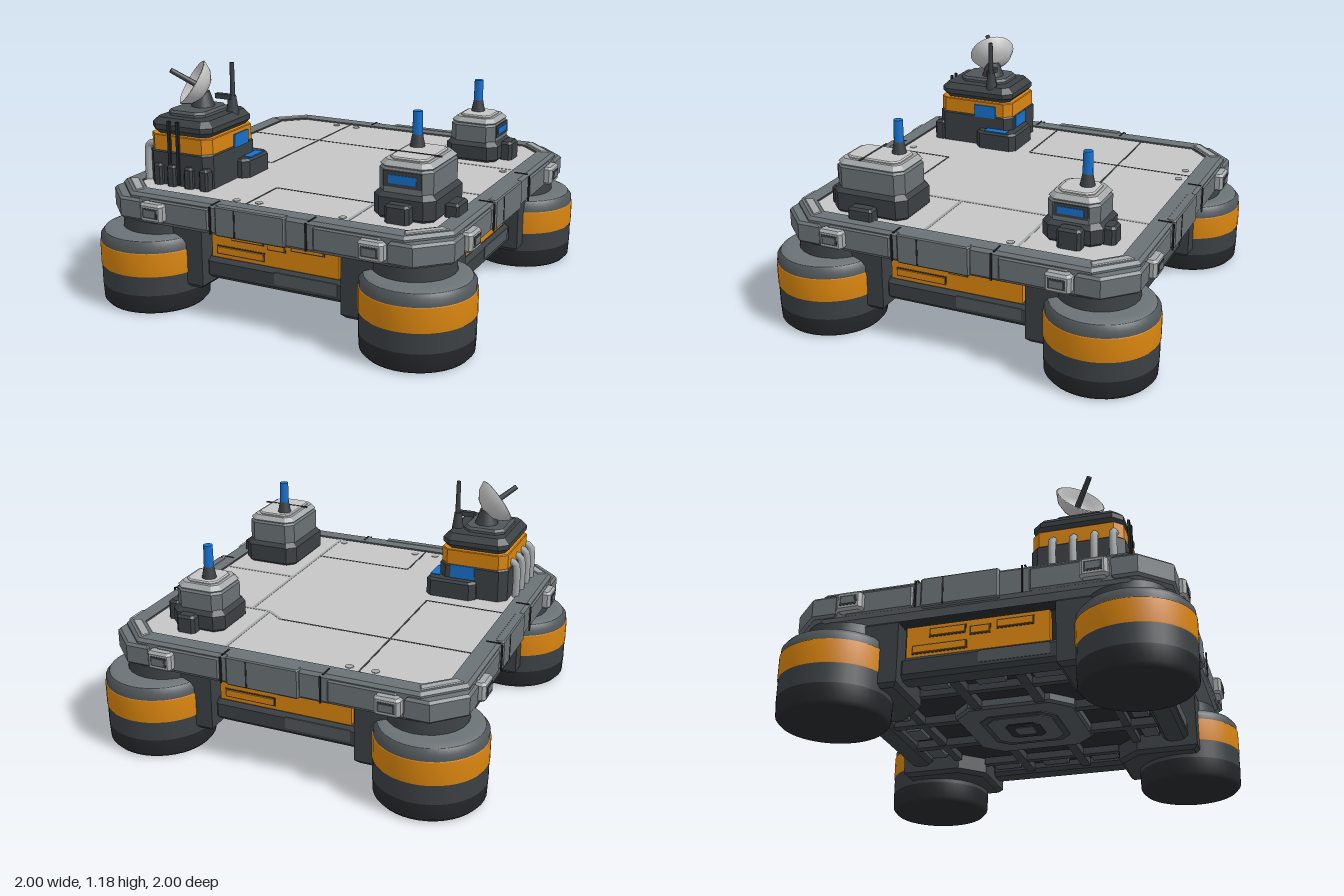
import * as THREE from 'three';

const mat = (name, color) => {
  const m = new THREE.MeshStandardMaterial({ color, side: THREE.DoubleSide });
  m.name = name;
  return m;
};
const M = {
  deck: mat('deckGrey', 0xc6c5c5),
  light: mat('lightGrey', 0xa4a8a8),
  mid: mat('frameGrey', 0x6b7275),
  steel: mat('steelGrey', 0x50565a),
  dark: mat('darkGrey', 0x3b4043),
  black: mat('nearBlack', 0x25282b),
  orange: mat('orange', 0xd9850f),
  blue: mat('blue', 0x1670cc),
};

function add(parent, name, geo, material, x = 0, y = 0, z = 0) {
  const m = new THREE.Mesh(geo, material);
  m.name = name;
  m.position.set(x, y, z);
  parent.add(m);
  return m;
}

// Rectangle with cut corners, in x and z
const cutRect = (w, d, c) => {
  const a = w / 2, b = d / 2;
  return [[a, -b + c], [a, b - c], [a - c, b], [-a + c, b], [-a, b - c], [-a, -b + c], [-a + c, -b], [a - c, -b]];
};
const toPoints = (pts) => pts.map(([x, z]) => new THREE.Vector2(x, -z));

// Upright prism from an outline, with bevelled top and bottom edges
function prism(pts, y0, y1, bevel = 0.012, hole = null) {
  const shape = new THREE.Shape(toPoints(pts));
  if (hole) shape.holes.push(new THREE.Path(toPoints(hole)));
  const g = new THREE.ExtrudeGeometry(shape, {
    depth: y1 - y0 - 2 * bevel, bevelEnabled: bevel > 0, bevelSize: bevel,
    bevelThickness: bevel, bevelOffset: -bevel, bevelSegments: 1,
  });
  return g.rotateX(-Math.PI / 2).translate(0, y0 + bevel, 0);
}
const block = (p, name, m, w, d, x, z, y0, y1, cut = 0.03, bevel = 0.012) =>
  add(p, name, prism(cutRect(w, d, cut), y0, y1, bevel), m, x, 0, z);
const box = (p, name, m, w, h, d, x, y, z) =>
  add(p, name, new THREE.BoxGeometry(w, h, d), m, x, y, z);
const lathe = (pts, n = 40) => new THREE.LatheGeometry(pts.map(([r, y]) => new THREE.Vector2(r, y)), n);

// Round foot made of coloured rings
function foot(p) {
  const g = new THREE.Group();
  g.name = 'foot';
  g.position.set(0.725, 0, 0.725);
  add(g, 'footSole', lathe([[0, 0], [0.25, 0], [0.268, 0.02], [0.272, 0.1]]), M.black);
  add(g, 'footWall', lathe([[0.272, 0.1], [0.272, 0.2]]), M.dark);
  add(g, 'footBand', lathe([[0.268, 0.195], [0.275, 0.2], [0.275, 0.315], [0.268, 0.32]]), M.orange);
  add(g, 'footShoulder', lathe([[0.27, 0.315], [0.27, 0.35], [0.25, 0.375]]), M.steel);
  add(g, 'footTop', lathe([[0.25, 0.375], [0.215, 0.39], [0, 0.39]]), M.mid);
  add(g, 'footPost', new THREE.CylinderGeometry(0.19, 0.2, 0.1, 24), M.dark, -0.03, 0.42, -0.03);
  p.add(g);
}

// One side and one corner of the platform, facing +z
function side(p, k) {
  const g = new THREE.Group();
  g.name = 'platformSide';
  g.rotation.y = k * Math.PI / 2;
  p.add(g);
  foot(g);
  add(g, 'footHousing', prism([[0.38, 0.82], [0.38, 0.5], [0.5, 0.38], [0.82, 0.38], [0.82, 0.82]], 0.12, 0.46, 0.02), M.dark);
  add(g, 'cornerGuard', prism([[0.66, 0.87], [0.66, 0.92], [0.78, 0.92], [0.92, 0.78], [0.92, 0.66], [0.87, 0.66]], 0.465, 0.575), M.mid);
  add(g, 'cornerPlate', prism([[0.72, 0.87], [0.87, 0.72], [0.83, 0.7], [0.7, 0.83]], 0.59, 0.606, 0.004), M.light);
  // frame segments and their joints
  block(g, 'frameSegment', M.mid, 0.38, 0.05, -0.05, 0.89, 0.455, 0.602, 0.008, 0.006);
  for (const x of [-0.45, 0.45]) block(g, 'frameSegment', M.mid, 0.34, 0.045, x, 0.886, 0.465, 0.58, 0.008, 0.008);
  for (const x of [-0.265, -0.13, 0.25])
    box(g, 'frameJoint', M.black, 0.008, 0.135, 0.008, x, 0.527, 0.913);
  for (const x of [-0.26, 0.26]) box(g, 'topJoint', M.black, 0.008, 0.004, 0.07, x, 0.601, 0.867);
  // clamps
  for (const x of [-0.585, 0.585]) {
    block(g, 'clamp', M.light, 0.13, 0.06, x, 0.92, 0.475, 0.57, 0.015);
    box(g, 'clampInset', M.dark, 0.085, 0.05, 0.006, x, 0.523, 0.949);
    box(g, 'clampCore', M.mid, 0.065, 0.034, 0.006, x, 0.523, 0.952);
  }
  // orange side panel with ribs, and the beam below
  box(g, 'sidePanel', M.orange, 0.7, 0.16, 0.04, -0.015, 0.36, 0.73);
  for (const [x, w, y] of [[-0.16, 0.17, 0.4], [0, 0.09, 0.385], [0.17, 0.17, 0.4], [-0.2, 0.26, 0.32]]) {
    box(g, 'panelGroove', M.dark, w + 0.012, 0.046, 0.006, x, y, 0.75);
    box(g, 'panelRib', M.orange, w, 0.034, 0.016, x, y, 0.752);
  }
  block(g, 'lowerBeam', M.dark, 0.8, 0.13, 0, 0.71, 0.17, 0.28, 0.03, 0.02);
  box(g, 'beamPlate', M.steel, 0.34, 0.06, 0.006, 0.17, 0.235, 0.775);
  // underside ribs
  box(g, 'bellyRib', M.dark, 0.05, 0.05, 0.4, 0.16, 0.205, 0.46);
  box(g, 'bellyRib', M.dark, 0.05, 0.05, 0.4, -0.16, 0.205, 0.46);
  box(g, 'bellyCrossRib', M.dark, 0.76, 0.045, 0.04, 0, 0.205, 0.5);
  for (const x of [-0.28, 0, 0.28]) box(g, 'bellyPanel', M.steel, 0.14, 0.03, 0.08, x, 0.212, 0.59);
}

// Antenna with a tapered base and a blue tip
function antenna(p, x, z, y0, y1) {
  add(p, 'antennaBase', new THREE.CylinderGeometry(0.024, 0.04, 0.08, 16), M.dark, x, y0 + 0.035, z);
  const h = y1 - y0 - 0.07;
  add(p, 'antennaTip', new THREE.CylinderGeometry(0.023, 0.025, h, 16), M.blue, x, y1 - h / 2, z);
}

// Small two-tier beacon tower
function beacon(p, name, x, z, w, d, y1, y2) {
  const g = new THREE.Group();
  g.name = name;
  g.position.set(x, 0, z);
  block(g, 'beaconBase', M.dark, w, d, 0, 0, 0.58, y1, 0.045, 0.025);
  block(g, 'beaconBody', M.mid, w - 0.04, d - 0.04, 0, 0, y1 - 0.02, y2 - 0.03, 0.04, 0.015);
  block(g, 'beaconRoof', M.light, w - 0.045, d - 0.045, 0, 0, y2 - 0.05, y2 - 0.005, 0.04, 0.022);
  block(g, 'roofPlate', M.deck, w - 0.12, d - 0.12, 0, 0, y2 - 0.02, y2 + 0.006, 0.03, 0.006);
  p.add(g);
  return g;
}

function dishTower(p) {
  const g = new THREE.Group();
  g.name = 'dishTower';
  p.add(g);
  const cx = -0.59, cz = 0.47;
  block(g, 'towerBase', M.dark, 0.37, 0.45, cx, cz, 0.58, 0.77, 0.04);
  block(g, 'towerBand', M.orange, 0.358, 0.438, cx, cz, 0.755, 0.845, 0.04, 0.004);
  block(g, 'towerUpper', M.dark, 0.355, 0.435, cx, cz, 0.84, 0.925, 0.045, 0.03);
  block(g, 'towerCap', M.steel, 0.22, 0.28, cx - 0.02, cz, 0.91, 0.95, 0.04);
  block(g, 'annex', M.dark, 0.27, 0.24, -0.485, 0.32, 0.58, 0.69, 0.03);
  box(g, 'annexScreen', M.blue, 0.05, 0.008, 0.13, -0.385, 0.69, 0.32);
  box(g, 'wallScreen', M.blue, 0.008, 0.07, 0.13, -0.404, 0.79, 0.4);
  box(g, 'wallScreen', M.blue, 0.13, 0.07, 0.008, -0.54, 0.73, 0.243);
  // front struts and feet
  for (const x of [-0.635, -0.585]) box(g, 'frontStrut', M.black, 0.016, 0.32, 0.012, x, 0.76, 0.696);
  for (const x of [-0.7, -0.62, -0.52, -0.43]) block(g, 'frontFoot', M.dark, 0.05, 0.06, x, 0.69, 0.58, 0.7, 0.01);
  // bent pipes on the outer wall
  for (const z of [0.36, 0.46, 0.56, 0.65]) {
    const path = new THREE.CatmullRomCurve3([[-0.8, 0.58], [-0.8, 0.72], [-0.79, 0.775], [-0.74, 0.79]]
      .map(([x, y]) => new THREE.Vector3(x, y, z)));
    add(g, 'pipe', new THREE.TubeGeometry(path, 12, 0.019, 10), M.light);
  }
  // whip mast
  add(g, 'mastBase', new THREE.CylinderGeometry(0.02, 0.035, 0.11, 12), M.dark, -0.46, 0.95, 0.385);
  add(g, 'mast', new THREE.CylinderGeometry(0.011, 0.014, 0.24, 12), M.dark, -0.457, 1.055, 0.385);
  box(g, 'mastBracket', M.dark, 0.09, 0.025, 0.03, -0.5, 1.0, 0.4);
  // dish on its pedestal, tilted outward
  add(g, 'dishPedestal', new THREE.CylinderGeometry(0.035, 0.07, 0.1, 16), M.dark, -0.6, 0.975, 0.44);
  const dish = new THREE.Group();
  dish.name = 'dish';
  dish.position.set(-0.595, 1.03, 0.425);
  dish.quaternion.setFromUnitVectors(new THREE.Vector3(0, 1, 0), new THREE.Vector3(-0.62, 0.5, 0.5).normalize());
  add(dish, 'dishBowl', lathe([[0, -0.015], [0.06, 0], [0.1, 0.03], [0.125, 0.075], [0.117, 0.08], [0.09, 0.042], [0.05, 0.015], [0, 0.005]], 32), M.deck);
  add(dish, 'feedRod', new THREE.CylinderGeometry(0.013, 0.016, 0.2, 10), M.dark, 0, 0.1, 0);
  g.add(dish);
}

export function createModel() {
  const root = new THREE.Group();
  root.name = 'landingPlatform';

  // platform core, frame and deck
  add(root, 'frame', prism(cutRect(1.8, 1.8, 0.17), 0.45, 0.6, 0.015, cutRect(1.64, 1.64, 0.11)), M.mid);
  add(root, 'deckGroove', prism(cutRect(1.7, 1.7, 0.13), 0.455, 0.578, 0), M.black);
  add(root, 'deck', prism(cutRect(1.62, 1.62, 0.11), 0.5, 0.592, 0.006), M.deck);
  add(root, 'hull', prism(cutRect(1.44, 1.44, 0.2), 0.22, 0.46, 0.01), M.black);
  for (let k = 0; k < 4; k++) side(root, k);

  // centre of the underside
  add(root, 'bellyPlate', prism(cutRect(0.62, 0.62, 0.1), 0.175, 0.24), M.steel);
  [[0.4, M.dark], [0.34, M.steel], [0.18, M.black], [0.1, M.steel]].forEach(([s, m], i) =>
    add(root, 'bellyHatch', prism(cutRect(s, s, s * 0.15), 0.171 - i * 0.004, 0.2, 0), m));

  // deck seams: x1, z1, x2, z2
  const seams = [
    [-0.81, -0.4, 0.2, -0.4], [-0.39, -0.81, -0.39, 0.12], [-0.81, 0.12, -0.39, 0.12],
    [-0.14, 0.5, 0.4, 0.5], [-0.14, 0.5, -0.14, 0.81], [0.4, -0.33, 0.4, 0.81],
    [0.3, -0.81, 0.3, -0.33], [0.3, -0.33, 0.81, -0.33], [0.4, 0.15, 0.81, 0.15], [0.2, -0.4, 0.3, -0.33],
  ];
  seams.forEach(([x1, z1, x2, z2], i) => {
    const s = box(root, 'deckSeam', i < 5 ? M.dark : M.light, Math.hypot(x2 - x1, z2 - z1), 0.004, i < 5 ? 0.009 : 0.016,
      (x1 + x2) / 2, 0.5915, (z1 + z2) / 2);
    s.rotation.y = -Math.atan2(z2 - z1, x2 - x1);
  });
  for (const [x, z] of [[-0.46, -0.76], [-0.33, -0.76], [0.76, -0.28], [-0.21, 0.76], [-0.09, 0.75], [0.36, 0.76]])
    add(root, 'deckBolt', new THREE.CylinderGeometry(0.02, 0.02, 0.006, 10), M.light, x, 0.592, z);

  dishTower(root);

  // front beacon
  const a = beacon(root, 'frontBeacon', 0.615, 0.48, 0.31, 0.41, 0.72, 0.865);
  antenna(a, -0.045, -0.08, 0.86, 1.04);
  box(a, 'roofSeam', M.dark, 0.26, 0.006, 0.01, 0, 0.87, 0.04);
  box(a, 'screenFrame', M.dark, 0.19, 0.075, 0.008, 0, 0.78, 0.186);
  box(a, 'screen', M.blue, 0.14, 0.04, 0.008, 0, 0.78, 0.189);
  block(a, 'frontBox', M.dark, 0.12, 0.08, 0, 0.22, 0.58, 0.68, 0.015);
  block(a, 'sideBox', M.dark, 0.07, 0.13, 0.19, 0, 0.58, 0.66, 0.01);

  // rear beacon
  const b = beacon(root, 'rearBeacon', 0.53, -0.535, 0.29, 0.3, 0.7, 0.825);
  antenna(b, -0.02, -0.025, 0.82, 1.0);
  box(b, 'screenFrame', M.dark, 0.008, 0.065, 0.17, 0.126, 0.75, 0);
  box(b, 'screen', M.blue, 0.008, 0.035, 0.13, 0.129, 0.75, 0);
  block(b, 'sideBox', M.dark, 0.07, 0.12, 0.165, -0.015, 0.58, 0.69, 0.015);
  block(b, 'backBox', M.dark, 0.1, 0.07, 0.03, -0.165, 0.58, 0.68, 0.015);
  return root;
}
